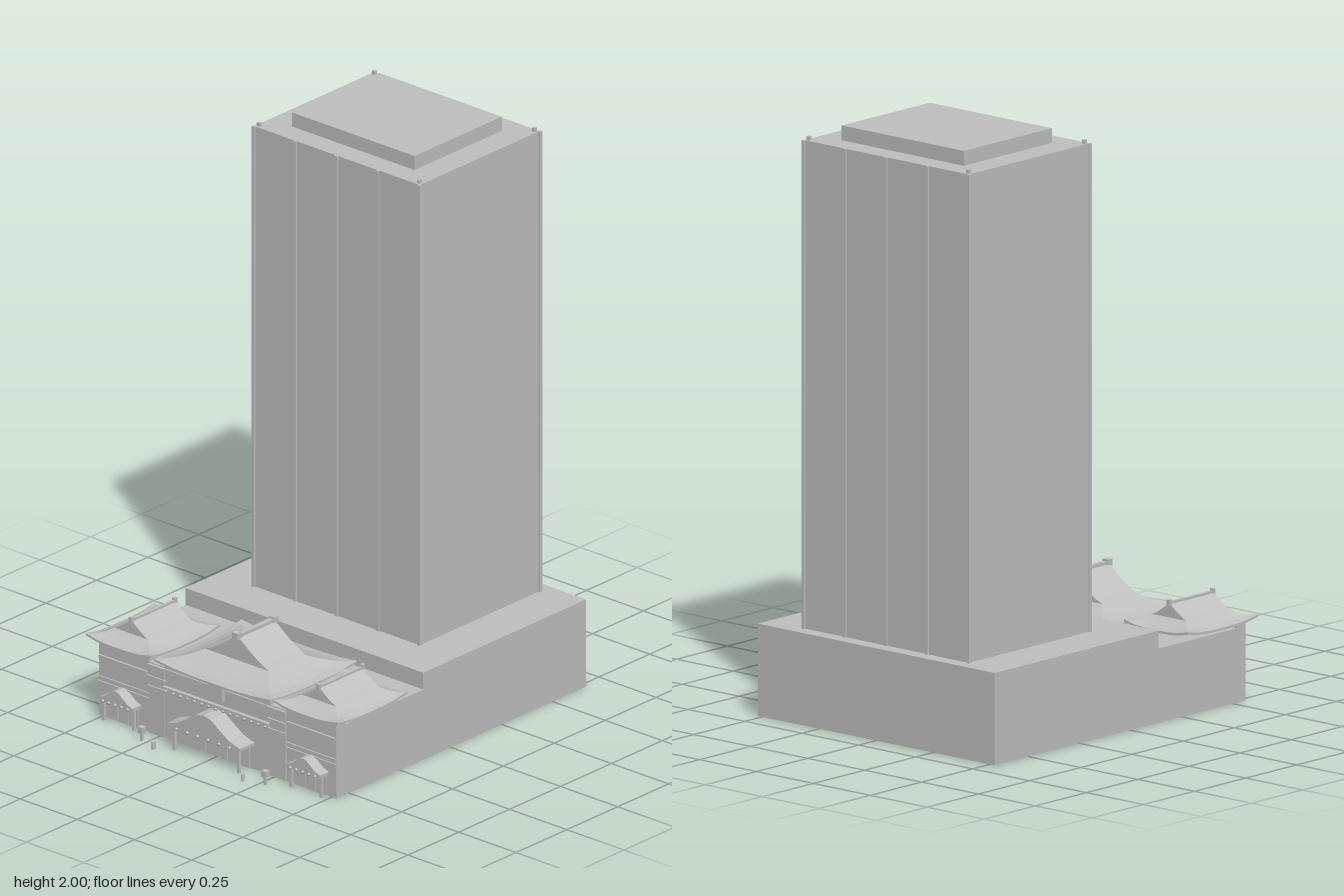
import * as THREE from 'three';

const grey = new THREE.MeshStandardMaterial({ color: 0xc0c0c0, side: THREE.DoubleSide });
grey.name = 'stone grey';

export function createModel() {
  const model = new THREE.Group();
  model.name = 'towerWithPavilions';

  const add = (name, geo, x = 0, y = 0, z = 0) => {
    const m = new THREE.Mesh(geo, grey);
    m.name = name;
    m.position.set(x, y, z);
    model.add(m);
    return m;
  };
  // Box given by its minimum and maximum on each axis
  const box = (name, x0, x1, y0, y1, z0, z1, open = false) => {
    const g = new THREE.BoxGeometry(x1 - x0, y1 - y0, z1 - z0);
    if (open) { // hollow shell: drop the bottom face
      const idx = Array.from(g.index.array);
      idx.splice(18, 6);
      g.setIndex(idx);
      g.clearGroups();
    }
    return add(name, g, (x0 + x1) / 2, (y0 + y1) / 2, (z0 + z1) / 2);
  };
  // Prism along z from a half profile [x, y], mirrored and closed at yBase
  const prism = (name, half, yBase, cx, z0, z1) => {
    const pts = [...half.map(([x, y]) => [-x, y]).reverse(), ...half.slice(1)];
    const w = half[half.length - 1][0];
    const s = new THREE.Shape();
    s.moveTo(-w, yBase);
    pts.forEach(([x, y]) => s.lineTo(x, y));
    s.lineTo(w, yBase);
    s.closePath();
    return add(name, new THREE.ExtrudeGeometry(s, { depth: z1 - z0, bevelEnabled: false }), cx, 0, z0);
  };
  // Loft through rectangular rings [halfX, halfZ, y, cornerLift]
  const loft = (rings) => {
    const n = 6, pos = [], idx = [], count = n * 4;
    for (const [a, b, y, lift] of rings) {
      const c = [[-a, b], [a, b], [a, -b], [-a, -b]];
      for (let s = 0; s < 4; s++) for (let i = 0; i < n; i++) {
        const t = i / n, p = c[s], q = c[(s + 1) % 4];
        pos.push(p[0] + (q[0] - p[0]) * t, y + lift * Math.abs(2 * t - 1) ** 3, p[1] + (q[1] - p[1]) * t);
      }
    }
    for (let k = 0; k < rings.length - 1; k++) for (let i = 0; i < count; i++) {
      const n0 = k * count + i, n1 = k * count + (i + 1) % count;
      idx.push(n0 + count, n1 + count, n1, n0 + count, n1, n0);
    }
    const g = new THREE.BufferGeometry();
    g.setAttribute('position', new THREE.Float32BufferAttribute(pos, 3));
    g.setIndex(idx);
    const flat = g.toNonIndexed();
    flat.computeVertexNormals();
    return flat;
  };

  // Podium: tall rear block and lower front block
  box('podiumRear', -0.52, 0.52, 0, 0.31, -0.665, 0.135, true);
  box('podiumFront', -0.52, 0.52, 0, 0.25, 0.135, 0.56, true);

  // Tower, crown, facade fins and roof corner posts
  box('tower', -0.362, 0.362, 0.31, 1.95, -0.615, -0.025);
  box('towerCrown', -0.268, 0.268, 1.95, 2, -0.535, -0.105);
  for (const x of [-0.362, -0.181, 0, 0.181, 0.362]) {
    for (const z of [-0.615, -0.025]) {
      box('facadeFin', x - 0.006, x + 0.006, 0.31, 1.95, z - 0.006, z + 0.006);
    }
  }
  for (const x of [-0.35, 0.35]) for (const z of [-0.603, -0.037]) {
    box('roofPost', x - 0.006, x + 0.006, 1.95, 1.963, z - 0.006, z + 0.006);
  }

  // Hip-and-gable roof: curved skirt below, gabled prism above, ridge on top
  const hipRoof = (name, cx, cz, xe, ze, xb, zb, yEave, yBreak, yRidge) => {
    const rings = [];
    for (let k = 0; k <= 4; k++) {
      const t = k / 4;
      rings.push([xb + (xe - xb) * t, zb + (ze - zb) * t,
        yEave + (yBreak - yEave) * (1 - t) ** 1.5, 0.014 * t * t]);
    }
    rings.push([xe, ze, yEave - 0.008, 0.014]);
    rings.push([xb, zb, yEave - 0.006, 0]);
    add(name + 'Skirt', loft(rings), cx, 0, cz);
    const half = [];
    for (let i = 0; i <= 5; i++) {
      const t = i / 5;
      half.push([xb * t, yBreak + (yRidge - yBreak) * (1 - t) ** 1.25]);
    }
    prism(name + 'Gable', half, yBreak - 0.012, cx, cz - zb, cz + zb);
    const r = xe * 0.035;
    box(name + 'Ridge', cx - r, cx + r, yRidge - 0.01, yRidge + 0.004, cz - zb, cz + zb);
    for (const z of [cz - zb, cz + zb]) {
      box(name + 'RidgeEnd', cx - r * 1.3, cx + r * 1.3, yRidge - 0.012, yRidge + 0.011, z - r * 1.3, z + r * 1.3);
    }
  };
  hipRoof('centreRoof', 0, 0.375, 0.253, 0.215, 0.14, 0.09, 0.27, 0.312, 0.4);
  for (const s of [-1, 1]) hipRoof('wingRoof', s * 0.41, 0.4175, 0.14, 0.1725, 0.075, 0.107, 0.275, 0.306, 0.355);

  // Arched entrance canopy with posts, lanterns and door panels
  const entrance = (cx, w, yLow, yTop, z1, lamps) => {
    const h = yTop - yLow;
    prism('canopy', [[0, yTop], [w * 0.2, yLow + h * 0.92], [w * 0.45, yLow + h * 0.55],
      [w * 0.7, yLow + h * 0.2], [w, yLow]], yLow - 0.01, cx, 0.56, z1);
    for (const s of [-1, 1]) {
      const x = cx + s * w * 0.88, z = z1 - 0.018;
      box('canopyPost', x - 0.005, x + 0.005, 0, yLow - 0.008, z - 0.005, z + 0.005);
    }
    for (let i = 0; i < lamps; i++) {
      const x = cx + w * 1.45 * (i / (lamps - 1) - 0.5);
      add('canopyLantern', new THREE.SphereGeometry(0.006, 8, 6), x, yLow - 0.008, z1 + 0.001);
    }
    for (let i = 0; i < 3; i++) {
      const x = cx + (i - 1) * w * 0.6;
      box('doorPanel', x - w * 0.28, x + w * 0.28, 0, yLow - 0.02, 0.559, 0.564);
    }
  };
  entrance(0, 0.16, 0.095, 0.168, 0.632, 6);
  for (const s of [-1, 1]) entrance(s * 0.41, 0.075, 0.085, 0.125, 0.603, 5);

  // Wing fronts, ledges and the stepped piers beside the centre
  for (const s of [-1, 1]) {
    const side = (name, a, b, ...r) => box(name, Math.min(s * a, s * b), Math.max(s * a, s * b), ...r);
    side('wingParapet', 0.3, 0.52, 0.25, 0.272, 0.52, 0.56);
    side('wingBand', 0.305, 0.515, 0.203, 0.215, 0.556, 0.568);
    side('wingLedge', 0.3, 0.52, 0.136, 0.14, 0.556, 0.565);
    side('wingLedge', 0.3, 0.52, 0.118, 0.122, 0.556, 0.565);
    side('sidePier', 0.23, 0.3, 0, 0.24, 0.51, 0.564);
    for (const y of [0.165, 0.2, 0.24]) side('pierLedge', 0.225, 0.3, y, y + 0.006, 0.51, 0.57);

    // Lamp posts and bollards on the forecourt
    side('lampPost', 0.266, 0.274, 0, 0.04, 0.626, 0.634);
    side('lampHead', 0.26, 0.28, 0.028, 0.05, 0.62, 0.64);
    add('bollard', new THREE.CylinderGeometry(0.006, 0.006, 0.026, 8), s * 0.195, 0.013, 0.657);
  }

  // Centre front: parapet, lantern ledge and plaque
  box('centreParapet', -0.23, 0.23, 0.25, 0.268, 0.52, 0.56);
  box('centreLedge', -0.23, 0.23, 0.178, 0.186, 0.55, 0.574);
  box('centreBand', -0.23, 0.23, 0.24, 0.246, 0.55, 0.566);
  for (let i = 0; i < 15; i++) {
    add('ledgeLantern', new THREE.SphereGeometry(0.006, 8, 6), (i - 7) * 0.031, 0.172, 0.57);
  }
  box('plaque', -0.032, 0.032, 0.206, 0.256, 0.56, 0.575);

  return model;
}
